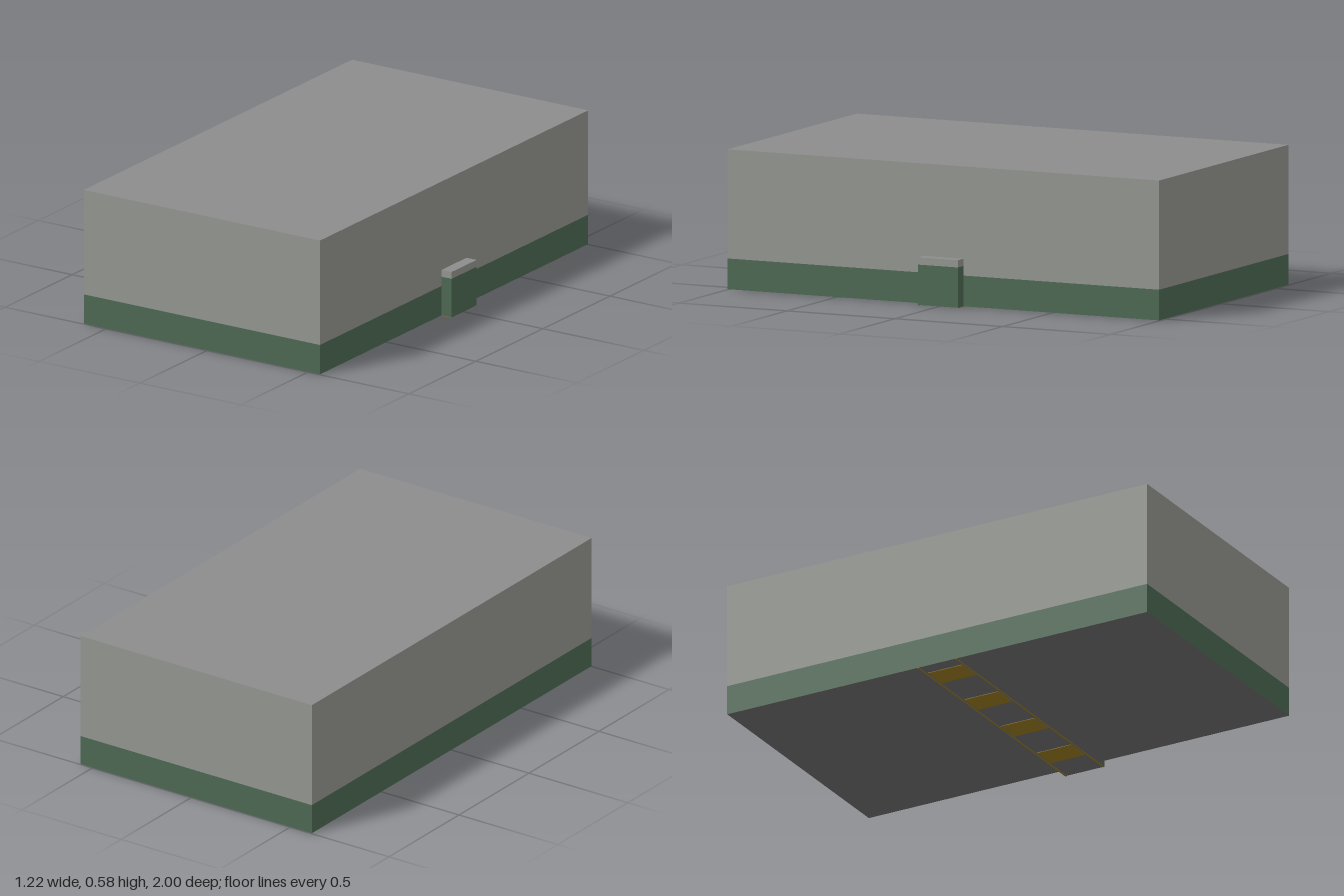
import * as THREE from 'three';

const flat = (name, color) => {
  const m = new THREE.MeshStandardMaterial({ color });
  m.name = name;
  return m;
};

export function createModel() {
  const wall = flat('wall grey', 0x93958f);
  const roof = flat('roof grey', 0x8c8c8c);
  const green = flat('dado green', 0x4c6853);
  const floor = flat('floor dark grey', 0x6e6e6e);
  const yellow = flat('marking yellow', 0x987a20);

  const model = new THREE.Group();
  model.name = 'room';

  // Box given by its limits on each axis; top and bottom may differ from the sides
  function box(name, [x0, x1], [y0, y1], [z0, z1], side, top = side, bottom = side) {
    const geo = new THREE.BoxGeometry(x1 - x0, y1 - y0, z1 - z0);
    const mesh = new THREE.Mesh(geo, [side, side, top, bottom, side, side]);
    mesh.name = name;
    mesh.position.set((x0 + x1) / 2, (y0 + y1) / 2, (z0 + z1) / 2);
    model.add(mesh);
  }

  // Main room: green lower wall on the floor, grey upper wall under the ceiling
  const roomX = [-0.61, 0.56], roomZ = [-1, 1], base = 0.002;
  box('lowerWall', roomX, [base, 0.13], roomZ, green, green, floor);
  box('upperWall', roomX, [0.13, 0.585], roomZ, wall, roof);

  // Doorway recess standing out of the left wall
  const doorX = [0.56, 0.61], doorZ = [-0.093, 0.093];
  box('doorwayLower', doorX, [base, 0.17], doorZ, green, green, floor);
  box('doorwayLintel', doorX, [0.17, 0.2], doorZ, wall, roof);

  // Crossing marked on the floor: four bars between two thin lines
  for (let i = 0; i < 4; i++) {
    const x = 0.41 - i * 0.3;
    box('crossingBar', [x - 0.057, x + 0.057], [0, base], [-0.08, 0.08], yellow);
  }
  for (const s of [-1, 1]) {
    box('crossingLine', [-0.61, 0.61], [0, base], [s * 0.09 - 0.003, s * 0.09 + 0.003], yellow);
  }

  return model;
}
